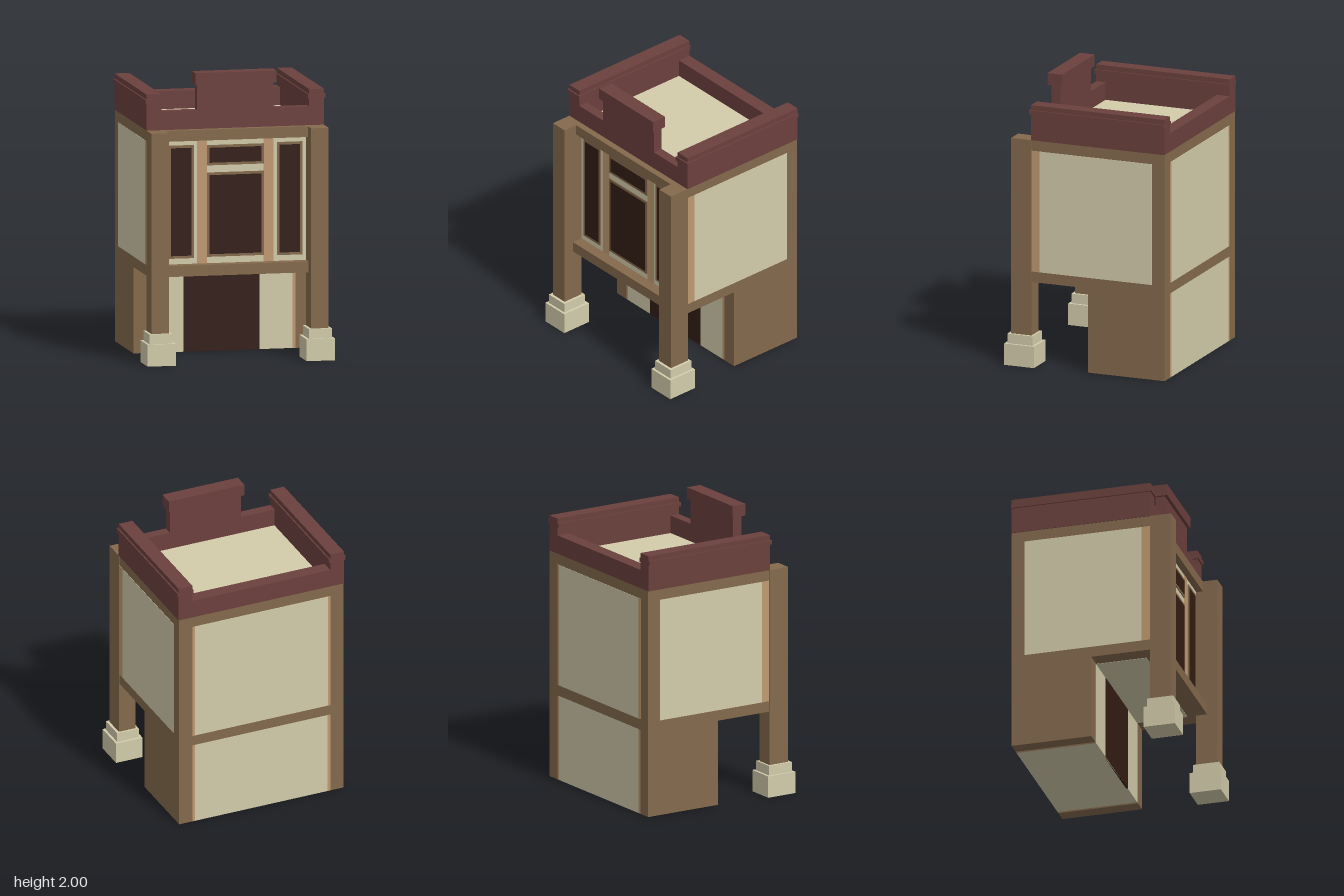
import * as THREE from 'three';

const mat = (color) => new THREE.MeshStandardMaterial({ color });

export function createModel() {
  const root = new THREE.Group();
  const brown = mat(0x84694c), cream = mat(0xd2cbaa), tan = mat(0xc09a70);
  const maroon = mat(0x6b403d), dark = mat(0x321c14);

  // Box given by its extents along each axis
  function box(name, material, x0, x1, y0, y1, z0, z1) {
    const mesh = new THREE.Mesh(new THREE.BoxGeometry(x1 - x0, y1 - y0, z1 - z0), material);
    mesh.position.set((x0 + x1) / 2, (y0 + y1) / 2, (z0 + z1) / 2);
    mesh.name = name;
    root.add(mesh);
  }
  // The same box on both sides of x = 0
  function pair(name, material, x0, x1, ...rest) {
    box(name + 'Left', material, x0, x1, ...rest);
    box(name + 'Right', material, -x1, -x0, ...rest);
  }
  const e = 0.002; // how far surface panels stand proud

  // Ground floor, set back under the upper storey
  box('groundFloor', cream, -0.5, 0.5, 0, 0.6, -0.59, -0.02);
  pair('groundTrim', tan, 0.5, 0.52, 0, 0.6, -0.59, -0.02);
  pair('groundSideWall', brown, 0.52, 0.62, 0, 0.6, -0.59, -0.02);
  box('doorway', dark, -0.267, 0.267, 0, 0.6, -0.03, -0.02 + e);

  // Upper storey with side, back and front panels
  box('upperStorey', brown, -0.62, 0.62, 0.6, 1.61, -0.59, 0.4);
  box('porchCeiling', cream, -0.5, 0.5, 0.6 - e, 0.61, -0.02, 0.34);
  pair('sidePanel', cream, 0.61, 0.62 + e, 0.675, 1.535, -0.495, 0.34);
  pair('sideTrim', tan, 0.61, 0.62 + e, 0.675, 1.535, 0.34, 0.4);
  box('backPanel', cream, -0.5, 0.5, 0.675, 1.535, -0.59 - e, -0.58);
  pair('backTrim', tan, 0.5, 0.52, 0.675, 1.535, -0.59 - e, -0.58);
  box('frontPanel', cream, -0.5, 0.5, 0.675, 1.535, 0.39, 0.4 + e);
  pair('frontTrim', tan, 0.2, 0.268, 0.675, 1.535, 0.39, 0.4 + 2 * e);

  // Front beams between the pillars
  box('lowerBeam', brown, -0.5, 0.5, 0.6, 0.675, 0.4, 0.48);
  box('upperBeam', brown, -0.5, 0.5, 1.535, 1.61, 0.4, 0.45);

  // Framed windows
  for (const [name, x0, x1, y0, y1] of [
    ['mainWindow', -0.2, 0.2, 0.72, 1.305],
    ['transomWindow', -0.2, 0.2, 1.355, 1.495],
    ['leftWindow', 0.293, 0.472, 0.715, 1.5],
    ['rightWindow', -0.472, -0.293, 0.715, 1.5],
  ]) {
    const w = 0.018;
    box(name + 'Frame', brown, x0, x1, y0, y1, 0.39, 0.409);
    box(name + 'Glass', dark, x0 + w, x1 - w, y0 + w, y1 - w, 0.39, 0.411);
  }

  // Corner pillars on stepped bases
  pair('pillar', brown, 0.5, 0.624, 0.22, 1.61, 0.4, 0.553);
  pair('baseTop', cream, 0.48, 0.643, 0.15, 0.22, 0.385, 0.573);
  pair('baseBlock', cream, 0.46, 0.66, 0, 0.152, 0.367, 0.59);

  // Flat roof and parapet
  box('roof', cream, -0.52, 0.52, 1.6, 1.615, -0.5, 0.34);
  pair('sideParapet', maroon, 0.52, 0.624, 1.61, 1.86, -0.59, 0.404);
  pair('sideParapetMoulding', maroon, 0.51, 0.634, 1.795, 1.825, -0.59, 0.414);
  box('backParapet', maroon, -0.52, 0.52, 1.61, 1.74, -0.59, -0.495);
  box('frontParapet', maroon, -0.52, 0.52, 1.61, 1.74, 0.335, 0.404);
  box('raisedParapet', maroon, -0.268, 0.268, 1.74, 1.92, 0.335, 0.404);
  box('raisedParapetCap', maroon, -0.285, 0.285, 1.917, 2, 0.317, 0.425);

  return root;
}
